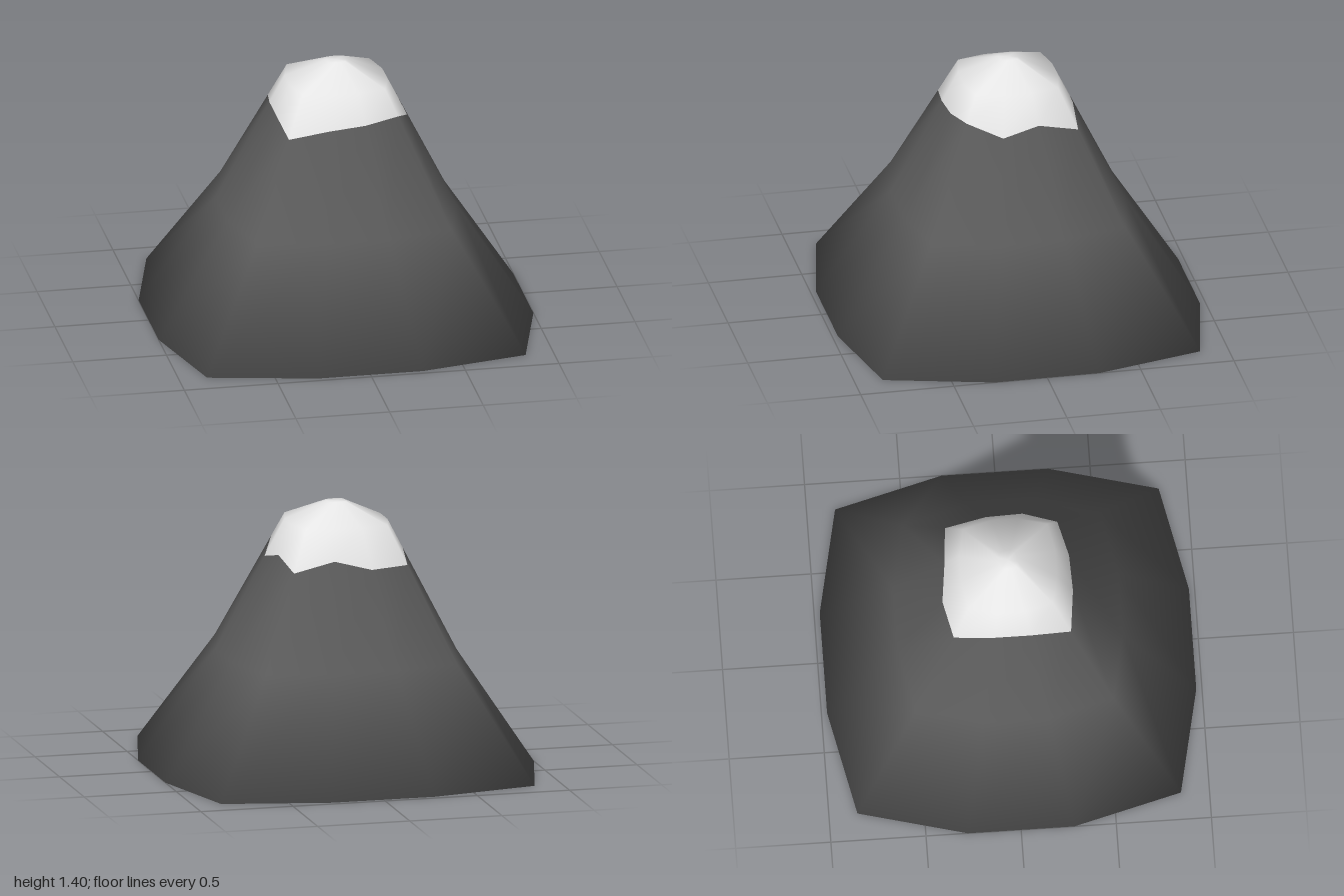
import * as THREE from 'three';

const SIDES = 12;

// Rounded-square outline: two points on each side and one on each corner
function outline() {
  const points = [];
  for (let q = 0; q < 4; q++) {
    for (const [x, z] of [[1, -0.28], [1, 0.28], [0.85, 0.85]]) {
      let p = [x, z];
      for (let i = 0; i < q; i++) p = [-p[1], p[0]];
      points.push([p[0], Math.abs(p[1]) === 1 ? p[1] * 0.97 : p[1]]);
    }
  }
  return points;
}

export function createModel() {
  const rock = new THREE.MeshStandardMaterial({ color: 0x5a5a5a });
  rock.name = 'darkRock';
  const snow = new THREE.MeshStandardMaterial({ color: 0xe6e6e6 });
  snow.name = 'snow';

  // Uneven height of the snow line around the peak
  const snowLine = [1.145, 1.1, 1.165, 1.145, 1.13, 1.09, 1.145, 1.145, 1.1, 1.095, 1.145, 1.09];
  const slopeScale = (y) => 0.61 - 0.5 * (y - 0.6);

  // Cross-sections from the middle of the floor, up the slopes, to the summit
  const level = (scale, y) => () => [scale, y];
  const loops = [
    level(0, 0), level(0.35, 0), level(1, 0), level(0.61, 0.6),
    (i) => [slopeScale(snowLine[i]), snowLine[i]],
    level(0.26, 1.3), level(0.05, 1.4), level(0, 1.4),
  ];
  const SNOW_START = 4;

  const positions = [];
  const ring = outline();
  for (const loop of loops) {
    ring.forEach(([x, z], i) => {
      const [scale, y] = loop(i);
      positions.push(x * scale, y, z * scale);
    });
  }

  const index = [];
  for (let l = 0; l < loops.length - 1; l++) {
    for (let i = 0; i < SIDES; i++) {
      const a = l * SIDES + i;
      const b = l * SIDES + (i + 1) % SIDES;
      if (l > 0) index.push(a, a + SIDES, b);
      if (l < loops.length - 2) index.push(b, a + SIDES, b + SIDES);
    }
  }

  // One smooth surface, rock below the snow line and snow above it
  const geometry = new THREE.BufferGeometry();
  geometry.setAttribute('position', new THREE.Float32BufferAttribute(positions, 3));
  geometry.setIndex(index);
  geometry.computeVertexNormals();
  const rockCount = SIDES * 3 * (2 * SNOW_START - 1);
  geometry.addGroup(0, rockCount, 0);
  geometry.addGroup(rockCount, index.length - rockCount, 1);

  const mountain = new THREE.Mesh(geometry, [rock, snow]);
  mountain.name = 'snowCappedMountain';

  const model = new THREE.Group();
  model.name = 'mountain';
  model.add(mountain);
  return model;
}
